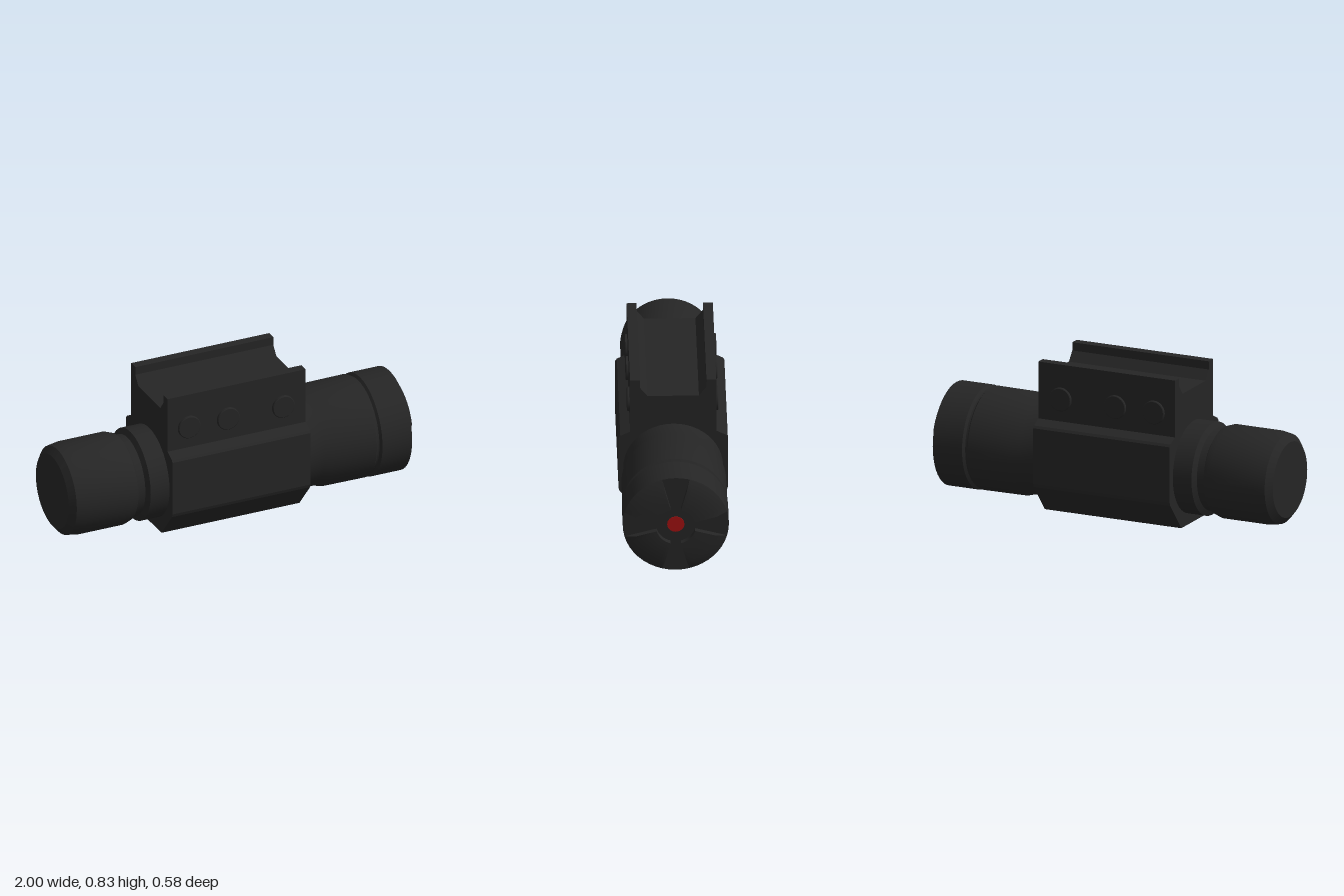
import * as THREE from 'three';
import { toCreasedNormals } from 'three/addons/utils/BufferGeometryUtils.js';

const AXIS_Y = 0.303;
const dark = new THREE.MeshStandardMaterial({ color: 0x252525, side: THREE.DoubleSide });
dark.name = 'matte black';
const red = new THREE.MeshStandardMaterial({ color: 0xa01010 });
red.name = 'lens red';

const vectors = (points) => points.map(([a, b]) => new THREE.Vector2(a, b));

function addMesh(parent, name, geometry, material = dark) {
  const mesh = new THREE.Mesh(geometry, material);
  mesh.name = name;
  parent.add(mesh);
  return mesh;
}

// Turned part: points are [radius, position along the tube]
function turned(points, segments = 48, start = 0, length = Math.PI * 2) {
  const geometry = new THREE.LatheGeometry(vectors(points), segments, start, length);
  return toCreasedNormals(geometry, Math.PI / 6);
}

export function createModel() {
  const model = new THREE.Group();
  model.name = 'laserSight';

  // Clamp body: one cross-section run along x, with a rail channel on top
  const half = [[0.15, 0], [0.283, 0.157], [0.289, 0.175], [0.289, 0.482], [0.28, 0.495],
    [0.228, 0.521], [0.228, 0.834], [0.176, 0.834], [0.176, 0.789], [0.136, 0.738]];
  const outline = [...half, ...half.map(([z, y]) => [-z, y]).reverse()];
  const section = new THREE.Shape(vectors(outline));
  const bodyGeometry = new THREE.ExtrudeGeometry(section, { depth: 0.806, bevelEnabled: false });
  bodyGeometry.rotateY(Math.PI / 2).translate(-0.433, 0, 0);
  addMesh(model, 'clampBody', bodyGeometry);

  // Clamp screws, three on each side
  for (const side of [1, -1]) {
    for (const x of [-0.31, -0.082, 0.24]) {
      const head = turned([[0.064, 0], [0.064, 0.012], [0.06, 0.0155], [0, 0.0155]], 24);
      head.rotateX(side * Math.PI / 2);
      addMesh(model, 'screwHead', head).position.set(x, 0.644, side * 0.227);
    }
  }

  // Tube parts are turned about y, then laid along x
  const tube = new THREE.Group();
  tube.name = 'tube';
  tube.rotation.z = -Math.PI / 2;
  tube.position.y = AXIS_Y;
  model.add(tube);

  addMesh(tube, 'rearCap', turned([[0, -1], [0.205, -1], [0.242, -0.97], [0.252, -0.91],
    [0.252, -0.65], [0.238, -0.61], [0.222, -0.6], [0.222, -0.56], [0.252, -0.543], [0.252, -0.42]]));
  addMesh(tube, 'frontBarrel', turned([[0.264, 0.36], [0.264, 0.47], [0.277, 0.515],
    [0.279, 0.765], [0.266, 0.776], [0.266, 0.786], [0.281, 0.797], [0.281, 0.97], [0, 0.97]]));

  // Four raised face segments separated by flared slots
  const profile = [[0.281, 0.97], [0.222, 1], [0.105, 1], [0.105, 0.97]];
  const wall = new THREE.Shape(vectors(profile));
  for (let i = 0; i < 4; i++) {
    const petal = new THREE.Group();
    petal.name = 'faceSegment';
    petal.rotation.y = i * Math.PI / 2;
    tube.add(petal);
    addMesh(petal, 'segmentShell', turned(profile, 8, Math.PI / 12, Math.PI / 3));
    for (const phi of [Math.PI / 12, Math.PI * 5 / 12]) {
      addMesh(petal, 'segmentWall', new THREE.ShapeGeometry(wall).rotateY(phi - Math.PI / 2));
    }
  }

  // Emitter lens in the recessed centre
  const lens = new THREE.CylinderGeometry(0.046, 0.046, 0.006, 16);
  addMesh(tube, 'emitterLens', lens, red).position.y = 0.971;

  return model;
}
